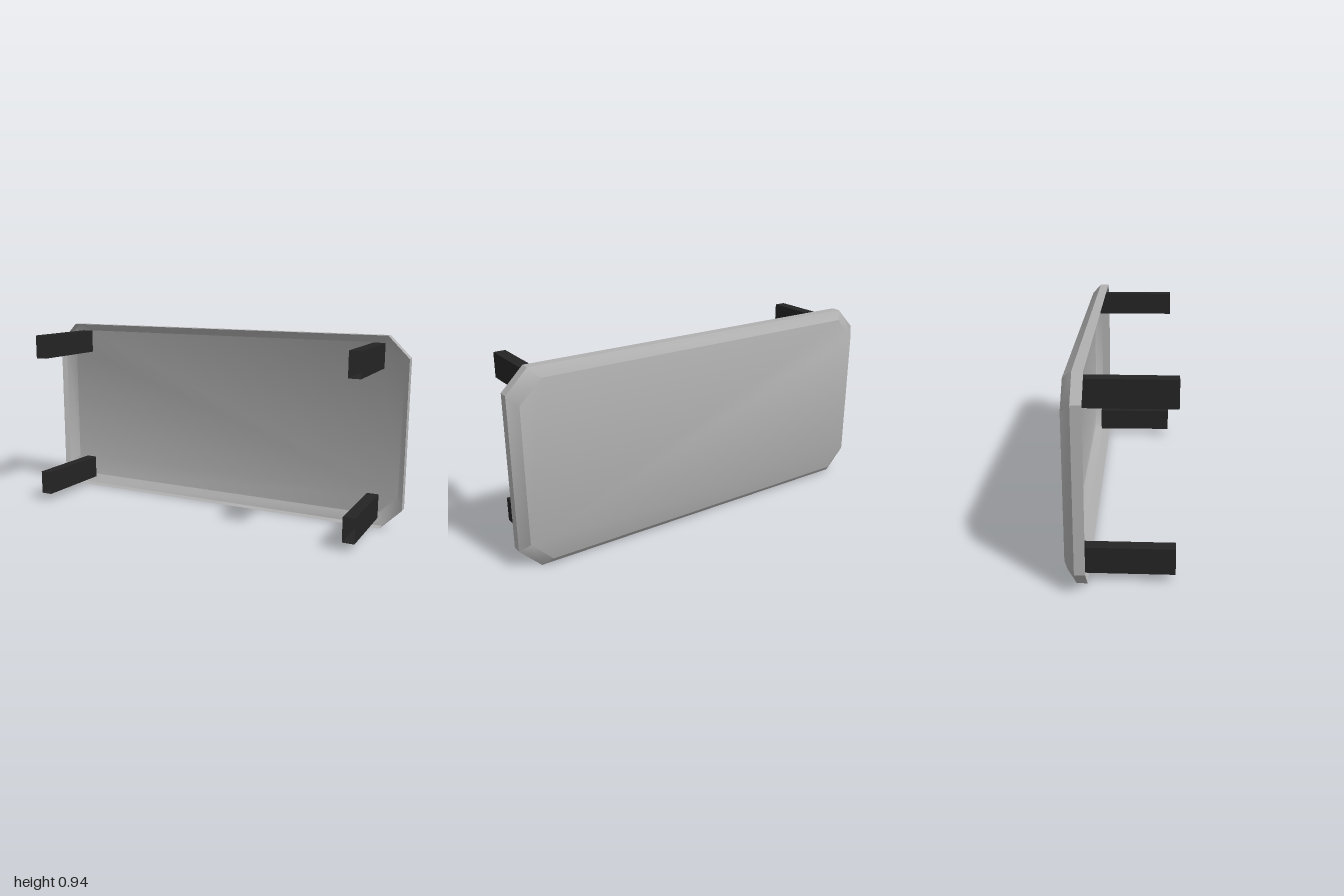
import * as THREE from 'three';
import { toCreasedNormals } from 'three/addons/utils/BufferGeometryUtils.js';

const H = 0.94;

// Chamfered rectangle, counter-clockwise seen from the front
function outline(inset, z) {
  const x = 1 - inset, y0 = inset, y1 = H - inset, c = 0.104;
  return [
    [x, y0 + c], [x, y1 - c], [x - c, y1], [c - x, y1],
    [-x, y1 - c], [-x, y0 + c], [c - x, y0], [x - c, y0],
  ].map(([px, py]) => [px, py, z]);
}

// Thin shell: straight rim, bevel and flat back, open to the front
function trayGeometry() {
  const rings = [outline(0, -0.142), outline(0, -0.188), outline(0.041, -0.23)];
  const n = 8, index = [];
  for (let r = 0; r < 2; r++) {
    for (let i = 0; i < n; i++) {
      const j = (i + 1) % n, a = r * n, b = a + n;
      index.push(a + i, b + i, b + j, a + i, b + j, a + j);
    }
  }
  for (let i = 1; i < n - 1; i++) index.push(2 * n, 2 * n + i + 1, 2 * n + i);
  const g = new THREE.BufferGeometry();
  g.setAttribute('position', new THREE.Float32BufferAttribute(rings.flat(2), 3));
  g.setIndex(index);
  return toCreasedNormals(g, 0.65);
}

// Square tube with open ends, leaning slightly outwards
function legGeometry(side) {
  const g = new THREE.BoxGeometry(0.058, 0.121, 0.418);
  g.setIndex(Array.from(g.index.array).slice(0, 24));
  g.clearGroups();
  const p = g.attributes.position;
  for (let i = 0; i < p.count; i++) {
    if (p.getZ(i) > 0) p.setX(i, p.getX(i) + side * 0.006);
  }
  g.computeVertexNormals();
  return g;
}

export function createModel() {
  const model = new THREE.Group();
  model.name = 'wallPanel';
  const grey = new THREE.MeshStandardMaterial({ color: 0xb0b0b0, side: THREE.DoubleSide });
  grey.name = 'panel grey';
  const black = new THREE.MeshStandardMaterial({ color: 0x242424, side: THREE.DoubleSide });
  black.name = 'leg black';

  const tray = new THREE.Mesh(trayGeometry(), grey);
  tray.name = 'tray';
  model.add(tray);

  // Four legs near the corners
  for (const side of [-1, 1]) {
    for (const [label, y] of [['lower', 0.098], ['upper', 0.841]]) {
      const leg = new THREE.Mesh(legGeometry(side), black);
      leg.name = label + (side > 0 ? 'LeftLeg' : 'RightLeg');
      leg.position.set(side * 0.844, y, 0.021);
      model.add(leg);
    }
  }
  return model;
}
